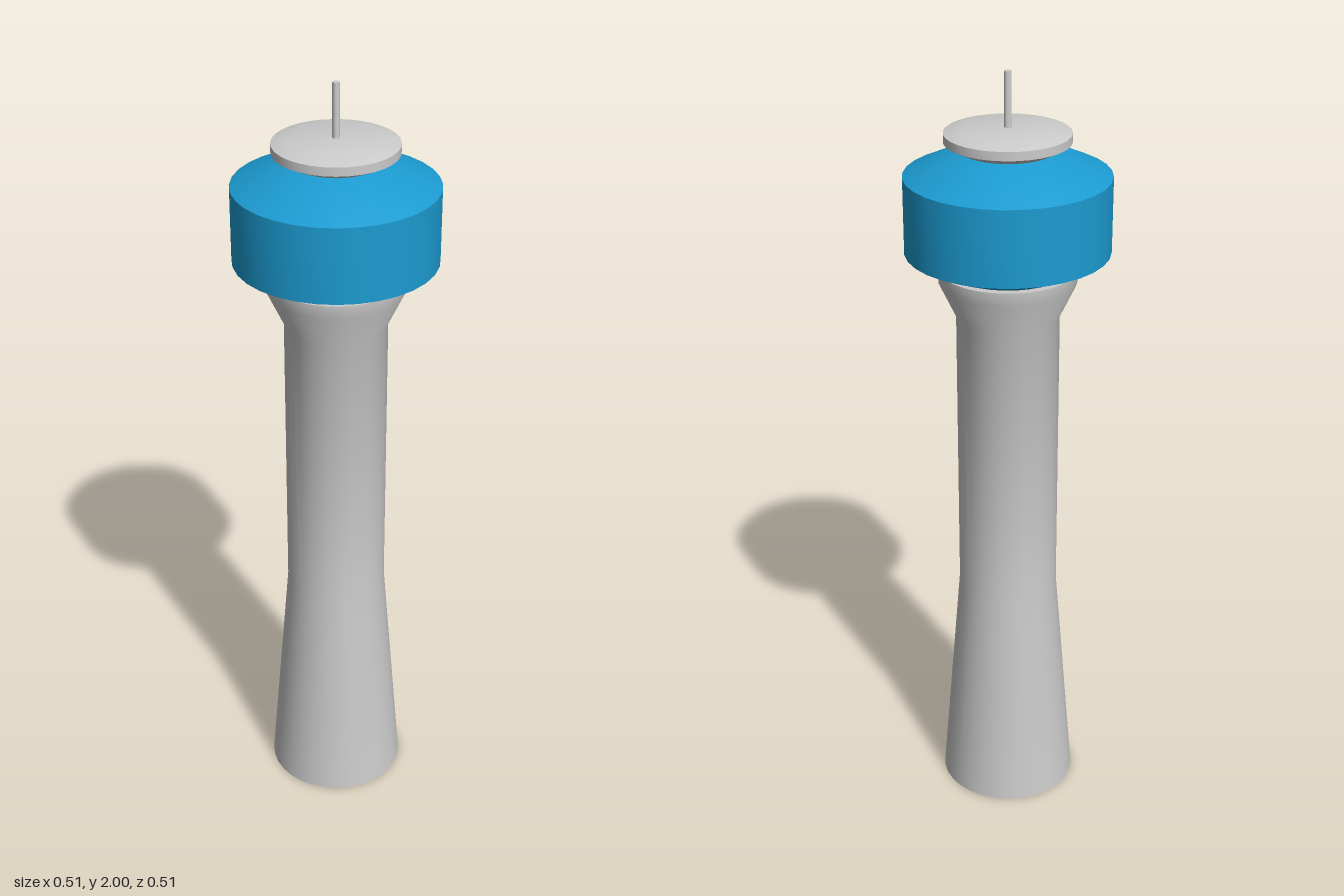
import * as THREE from 'three';
import { toCreasedNormals } from 'three/addons/utils/BufferGeometryUtils.js';

const SEGMENTS = 32;

// Closed turned part from [radius, y] pairs listed bottom to top
function turned(name, profile, material, segments = SEGMENTS) {
  const points = profile.map(([r, y]) => new THREE.Vector2(r, y));
  const geometry = toCreasedNormals(new THREE.LatheGeometry(points, segments), 0.6);
  const mesh = new THREE.Mesh(geometry, material);
  mesh.name = name;
  return mesh;
}

export function createModel() {
  const grey = new THREE.MeshStandardMaterial({ color: 0xcccccc });
  const blue = new THREE.MeshStandardMaterial({ color: 0x1c9bd1 });
  const tower = new THREE.Group();
  tower.name = 'controlTower';

  tower.add(
    // Tapered foot, straight shaft and flared collar
    turned('shaft', [
      [0, 0], [0.18, 0], [0.13, 0.62], [0.13, 1.385],
      [0.172, 1.475], [0.174, 1.51], [0, 1.51],
    ], grey),
    // Cabin with chamfered underside and sloping roof
    turned('cabin', [
      [0, 1.51], [0.155, 1.51], [0.255, 1.555], [0.255, 1.747],
      [0.115, 1.812], [0, 1.812],
    ], blue),
    // Disc on the roof with bevelled rims
    turned('roofCap', [
      [0, 1.81], [0.115, 1.81], [0.155, 1.83], [0.155, 1.852],
      [0.112, 1.865], [0, 1.865],
    ], grey),
    // Thin mast
    turned('antenna', [[0, 1.86], [0.009, 1.86], [0.009, 2], [0, 2]], grey, 16),
  );
  return tower;
}
